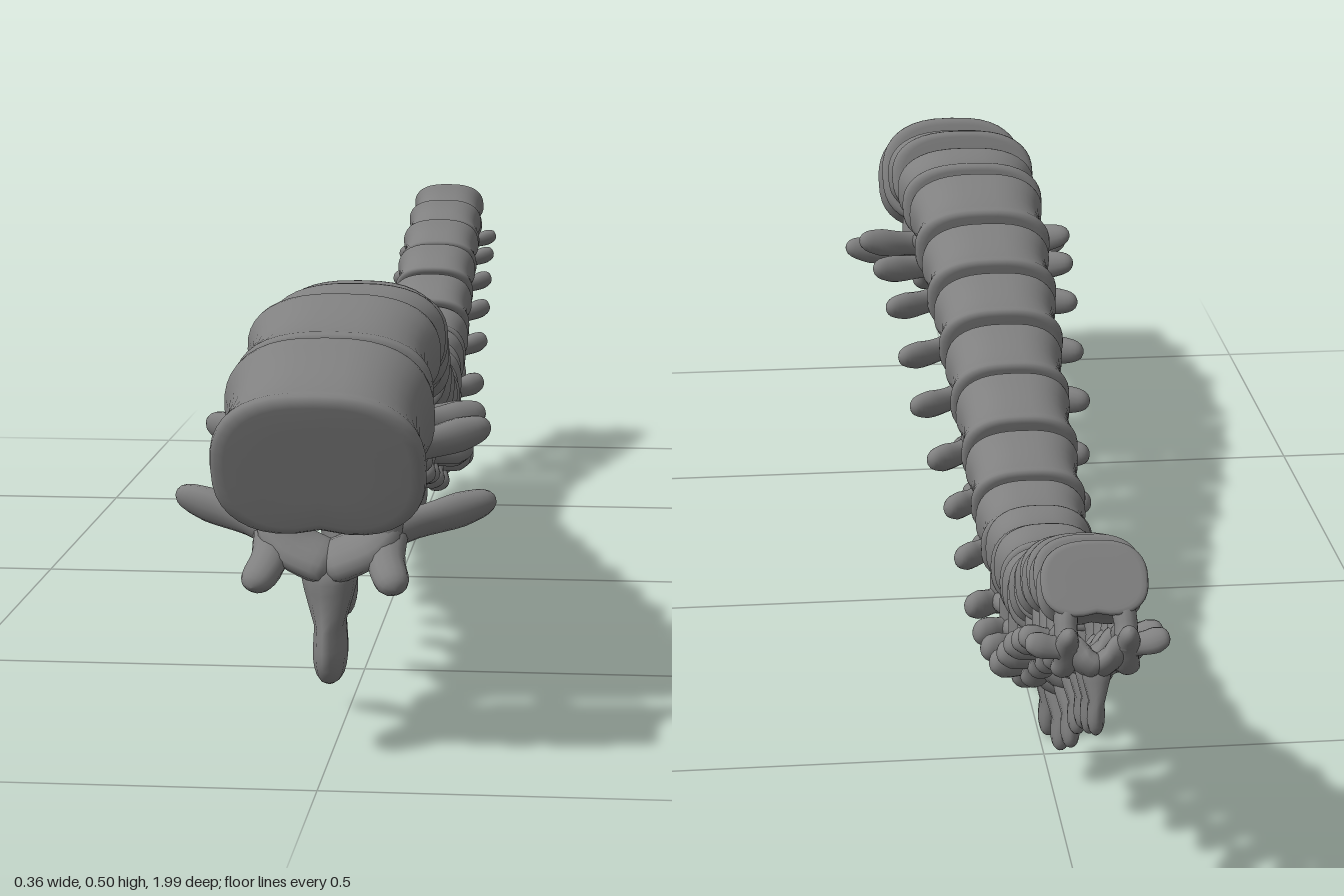
import * as THREE from 'three';

const V = (x, y, z) => new THREE.Vector3(x, y, z);
const material = new THREE.MeshStandardMaterial({ color: 0x808080 });

// Vertebrae from the large front end to the small rear end
const bodyZ = [0.907, 0.74, 0.59, 0.44, 0.305, 0.18, 0.065, -0.055, -0.165, -0.27, -0.365, -0.455, -0.55, -0.63, -0.705, -0.78, -0.85, -0.918];
const bodyY = [0.367, 0.415, 0.42, 0.41, 0.375, 0.34, 0.3, 0.27, 0.235, 0.21, 0.215, 0.23, 0.248, 0.288, 0.33, 0.365, 0.395, 0.415];
const tilt = [20, 14, 3, -11, -13, -14, -15, -16, -15, -6, 2, 6, 15, 27, 29, 30, 32, 35];
const height = [0.177, 0.137, 0.127, 0.127, 0.125, 0.123, 0.125, 0.12, 0.11, 0.107, 0.11, 0.105, 0.1, 0.097, 0.095, 0.09, 0.085, 0.085];
const length = [0.14, 0.132, 0.132, 0.13, 0.115, 0.108, 0.107, 0.11, 0.098, 0.088, 0.08, 0.083, 0.075, 0.078, 0.072, 0.068, 0.058, 0.058];
const tipZ = [0.85, 0.725, 0.62, 0.5, 0.38, 0.275, 0.175, 0.08, -0.03, -0.145, -0.28, -0.435, -0.58, -0.69, -0.76, -0.825, -0.888, -0.957];
const tipY = [0.08, 0.123, 0.147, 0.162, 0.163, 0.138, 0.08, 0.064, 0.05, 0.04, 0.012, 0.002, 0.05, 0.107, 0.16, 0.2, 0.225, 0.257];

// Piecewise linear value at u in 0..1
function along(keys, u) {
  const f = u * (keys.length - 1);
  const i = Math.min(Math.floor(f), keys.length - 2);
  return THREE.MathUtils.lerp(keys[i], keys[i + 1], f - i);
}

// Closed skin over a series of rings
function skin(name, rings) {
  const n = rings[0].length, last = rings.length - 1;
  const points = rings.flat();
  const index = [];
  const centre = ring => ring.reduce((s, p) => s.add(p), V(0, 0, 0)).divideScalar(n);
  const c0 = points.push(centre(rings[0])) - 1;
  const c1 = points.push(centre(rings[last])) - 1;
  for (let j = 0; j < n; j++) {
    const k = (j + 1) % n;
    for (let i = 0; i < last; i++) {
      const a = i * n + j, b = i * n + k;
      index.push(a, b, b + n, a, b + n, a + n);
    }
    index.push(c0, k, j, c1, last * n + j, last * n + k);
  }
  const geometry = new THREE.BufferGeometry().setFromPoints(points);
  geometry.setIndex(index);
  geometry.computeVertexNormals();
  const mesh = new THREE.Mesh(geometry, material);
  mesh.name = name;
  return mesh;
}

// Round-ended bony limb: half sizes a (along ref) and b (across it) vary along the path
function limb(name, path, a, b, ref) {
  const curve = new THREE.CatmullRomCurve3(path);
  const rings = [], steps = 16, sides = 14;
  for (let i = 0; i <= steps; i++) {
    const u = (1 - Math.cos(Math.PI * i / steps)) / 2;
    const round = Math.max(0.02, Math.pow(1 - Math.pow(Math.abs(2 * u - 1), 8), 0.5));
    const p = curve.getPoint(u), t = curve.getTangent(u);
    const s = ref.clone().addScaledVector(t, -ref.dot(t)).normalize();
    const o = t.clone().cross(s);
    rings.push(Array.from({ length: sides }, (_, j) => {
      const q = j / sides * Math.PI * 2;
      return p.clone()
        .addScaledVector(s, Math.cos(q) * along(a, u) * round)
        .addScaledVector(o, Math.sin(q) * along(b, u) * round);
    }));
  }
  return skin(name, rings);
}

// Spool-shaped body with lipped ends and a flattened, slightly hollow underside
function vertebralBody(w, h, l) {
  const half = [[1, 0.5], [1, 0.86], [0.98, 0.94], [0.92, 0.99], [0.83, 1], [0.7, 0.975], [0.4, 0.93]];
  const profile = [...half.map(([t, s]) => [-t, s]), [0, 0.91], ...half.reverse()];
  const power = (v, e) => Math.sign(v) * Math.pow(Math.abs(v), e);
  const sides = 40;
  return skin('vertebralBody', profile.map(([t, s]) => Array.from({ length: sides }, (_, j) => {
    const q = j / sides * Math.PI * 2, c = Math.cos(q), d = Math.sin(q);
    const x = w * power(c, 0.76);
    let y = h / 2 * power(d, d > 0 ? 0.86 : 0.72);
    if (d < 0) y += h * 0.06 * Math.pow(Math.max(0, 1 - Math.abs(x) / (w * 0.7)), 2);
    return V(x * s, y * s, t * l / 2);
  })));
}

function vertebra(i) {
  const u = i / (bodyZ.length - 1);
  const g = new THREE.Group();
  g.name = 'vertebra' + (i + 1);
  g.position.set(-0.01 * Math.sin(u * Math.PI) - 0.002, bodyY[i], bodyZ[i]);
  g.rotation.x = THREE.MathUtils.degToRad(tilt[i]);
  g.updateMatrixWorld();

  const h = height[i], l = length[i];
  const w = along([0.116, 0.107, 0.093, 0.081, 0.075, 0.066, 0.064, 0.062, 0.058], u);
  const gap = along([0.067, 0.066, 0.06, 0.045], u);
  const k = gap / 0.065;
  const drop = i === 0 ? 0.95 : along([1.35, 1.3, 1.2, 1.1, 1.05], u);
  const low = f => -h / 2 - gap * f;
  const X = V(1, 0, 0), Y = V(0, 1, 0);

  g.add(vertebralBody(w, h, l));

  for (const m of [1, -1]) {
    // Arch around the canal
    g.add(limb('pedicle', [V(m * w * 0.52, -h * 0.3, -l * 0.17), V(m * w * 0.56, low(0.2), -l * 0.18), V(m * w * 0.52, low(0.8), -l * 0.08)],
      [0.02 * k, 0.018 * k, 0.02 * k], [0.03 * k, 0.023 * k, 0.03 * k], X));
    g.add(limb('lamina', [V(m * w * 0.58, low(0.4), -l * 0.16), V(m * w * 0.33, low(0.4 + drop * 0.38), 0), V(-m * w * 0.06, low(drop * 1.08), l * 0.08)],
      [0.017 * k, 0.018 * k, 0.02 * k], [0.024 * k, 0.034 * k, 0.036 * k], Y));

    // Slanting pillar with joint prongs to both neighbours
    g.add(limb('articularPillar', [V(m * w * 0.55, low(0.38), -l * 0.72), V(m * w * 0.57, low(0.62), -l * 0.2), V(m * w * 0.56, low(drop * 0.5 + 0.36), l * 0.15), V(m * w * 0.68, low(drop), l * 0.48)],
      [0.014 * k, 0.02 * k, 0.02 * k, 0.02 * k], [0.016 * k, 0.017 * k, 0.017 * k, 0.016 * k], X));

    // Swept-back side wing with a blunt tip
    const tx = along([0.18, 0.157, 0.14, 0.128, 0.1, 0.092, 0.09, 0.087, 0.085, 0.08, 0.077], u);
    const tz = along([-0.075, -0.063, -0.048, -0.035, -0.02], u);
    g.add(limb('transverseProcess', [V(m * w * 0.45, low(0.6), -l * 0.08), V(m * (w * 0.4 + tx * 0.4), low(0.58), tz * 0.65), V(m * tx, low(0.46), tz)],
      [0.022 * k, 0.018 * k, 0.021 * k, 0.015 * k], [0.022 * k, 0.013 * k, 0.015 * k, 0.012 * k], Y));
  }

  // Hanging blade with a narrow neck
  const tip = g.worldToLocal(V(g.position.x, tipY[i], tipZ[i]));
  const root = V(0, low(drop * 0.9), l * 0.05);
  const mid = root.clone().lerp(tip, 0.5).add(V(0, -0.005 * k, -0.005 * k));
  const b = along([0.05, 0.043, 0.038, 0.029, 0.026, 0.025, 0.023, 0.02, 0.017], u);
  const a = along([0.022, 0.018, 0.015, 0.013, 0.011], u);
  g.add(limb('spinousProcess', [root, mid, tip], [a * 1.8, a * 1.3, a * 0.8, a * 0.9, a * 0.75], [b * 0.65, b * 0.72, b * 0.95, b, b * 0.8], X));
  return g;
}

export function createModel() {
  const model = new THREE.Group();
  model.name = 'spine';
  for (let i = 0; i < bodyZ.length; i++) model.add(vertebra(i));
  return model;
}
